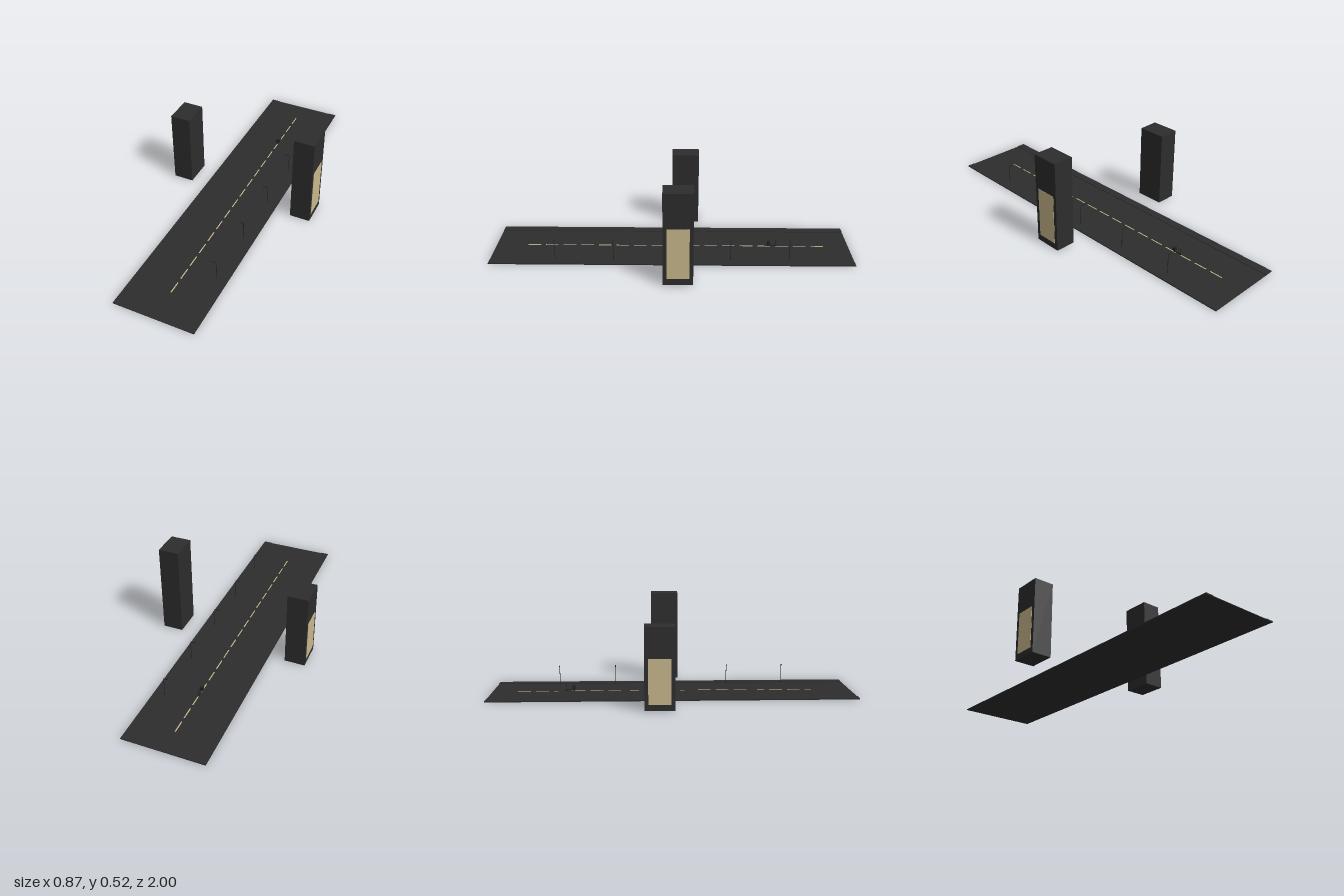
import * as THREE from 'three';

const mat = (name, color) => {
  const m = new THREE.MeshStandardMaterial({ color });
  m.name = name;
  return m;
};

export function createModel() {
  const root = new THREE.Group();
  root.name = 'streetScene';
  const asphalt = mat('charcoal', 0x2d2d2d);
  const metal = mat('darkMetal', 0x222222);
  const cream = mat('warmCream', 0xcab98d);

  // Box given by its minimum and maximum corners
  const box = (parent, name, material, [x0, y0, z0], [x1, y1, z1]) => {
    const mesh = new THREE.Mesh(new THREE.BoxGeometry(x1 - x0, y1 - y0, z1 - z0), material);
    mesh.position.set((x0 + x1) / 2, (y0 + y1) / 2, (z0 + z1) / 2);
    mesh.name = name;
    parent.add(mesh);
    return mesh;
  };
  const group = (name, x = 0, y = 0, z = 0) => {
    const g = new THREE.Group();
    g.name = name;
    g.position.set(x, y, z);
    root.add(g);
    return g;
  };

  // Road and raised pavements
  const roadX = -0.002;
  const street = group('street', roadX);
  box(street, 'road', asphalt, [-0.177, 0, -1], [0.177, 0.003, 1]);
  for (const side of [-1, 1]) {
    const edges = [side * 0.177, side * 0.2245].sort((a, b) => a - b);
    box(street, 'pavement', asphalt, [edges[0], 0, -1], [edges[1], 0.006, 1]);
  }

  // Centre line
  for (let i = 0; i < 17; i++) {
    const z = -0.86 + i * 0.1005;
    box(street, 'laneDash', cream, [-0.003, 0.003, z], [0.003, 0.004, z + 0.072]);
  }

  // Towers with a lit panel on the outer wall
  const tower = (side, height, zMid, winBottom, winTop) => {
    const g = group(side > 0 ? 'leftTower' : 'rightTower', side * 0.3757, 0, zMid);
    box(g, 'towerBody', asphalt, [-0.057, 0.003, -0.0785], [0.057, height, 0.0785]);
    const panel = box(g, 'litWindow', cream,
      [-0.001, winBottom, -0.0585], [0.001, winTop, 0.0585]);
    panel.position.x = side * 0.0575;
  };
  tower(1, 0.516, -0.037, 0.04, 0.323);
  tower(-1, 0.43, -0.0755, 0.035, 0.27);

  // Street lamps
  for (let i = -2; i <= 2; i++) {
    const lamp = group('streetLamp', 0.162, 0, i * 0.3215 - 0.002);
    const pole = new THREE.Mesh(new THREE.CylinderGeometry(0.0015, 0.0015, 0.112, 8), metal);
    pole.position.y = 0.059;
    pole.name = 'lampPole';
    lamp.add(pole);
    box(lamp, 'lampArm', metal, [-0.027, 0.1125, -0.0015], [0.0015, 0.1155, 0.0015]);
  }

  // Scooter heading away from the front, with a cargo box at its rear
  const scooter = group('scooter', roadX, 0.003, -0.568);
  for (const z of [-0.022, 0.021]) {
    const wheel = new THREE.Mesh(new THREE.CylinderGeometry(0.006, 0.006, 0.004, 16), metal);
    wheel.rotation.z = Math.PI / 2;
    wheel.position.set(0, 0.006, z);
    wheel.name = 'wheel';
    scooter.add(wheel);
  }
  box(scooter, 'footboard', metal, [-0.004, 0.006, -0.02], [0.004, 0.009, 0.022]);
  box(scooter, 'seatPost', metal, [-0.002, 0.008, 0.016], [0.002, 0.014, 0.022]);
  box(scooter, 'cargoBox', metal, [-0.009, 0.013, 0.011], [0.009, 0.031, 0.027]);
  const column = box(scooter, 'steeringColumn', metal,
    [-0.001, 0.006, -0.0235], [0.001, 0.039, -0.0215]);
  column.rotation.x = 0.08;
  box(scooter, 'handlebar', metal, [-0.008, 0.037, -0.023], [0.008, 0.039, -0.021]);

  return root;
}
